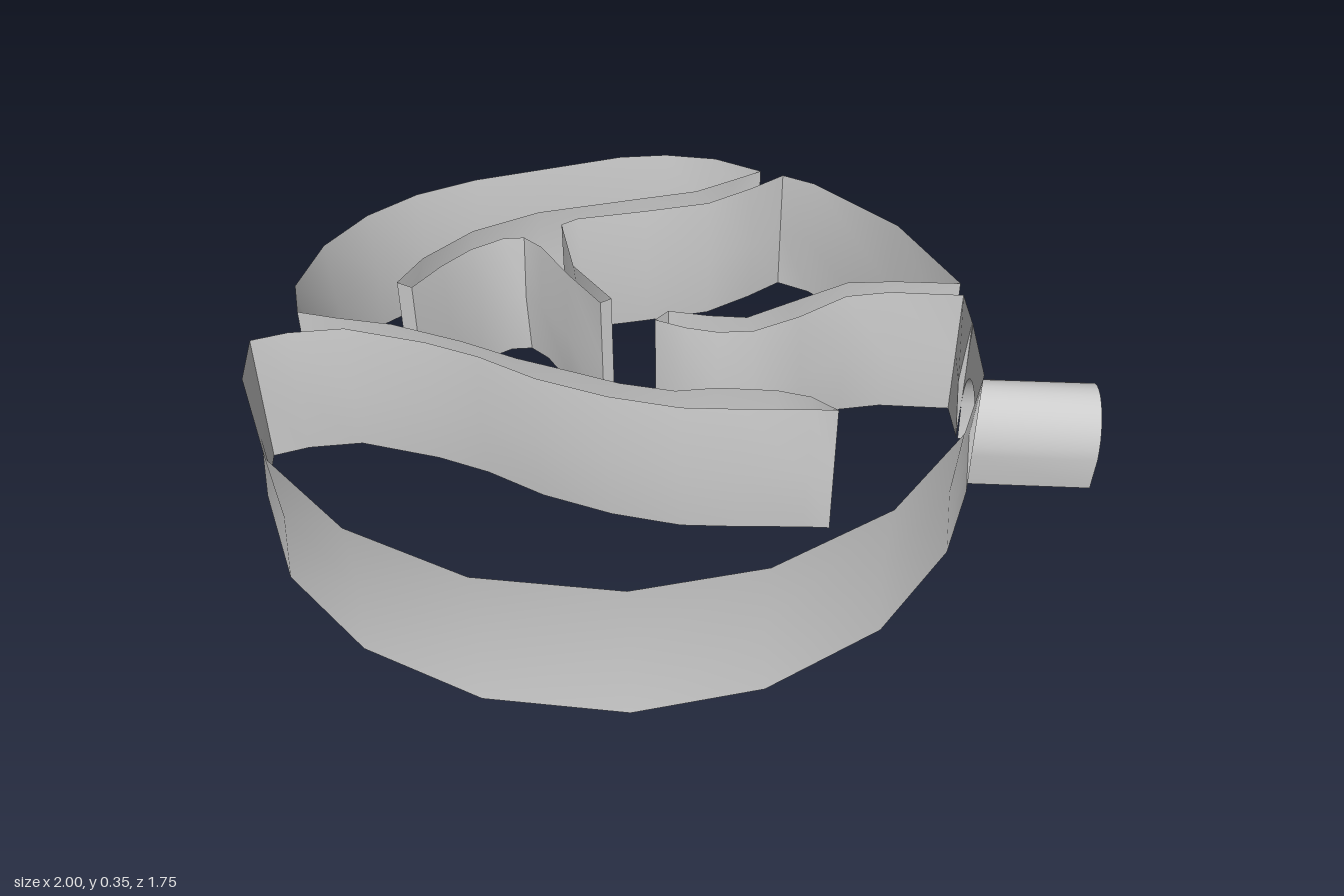
import * as THREE from 'three';
import { toCreasedNormals } from 'three/addons/utils/BufferGeometryUtils.js';

const HEIGHT = 0.355, PINCH = 0.014;

// Spout arch, from its front foot to its back foot: [x, z, y]
const SPOUT_FRONT = [0.71, -0.09], SPOUT_BACK = [0.655, -0.285];
const arch = [];
for (let i = 0; i <= 16; i++) {
  const a = Math.PI * i / 16, t = 0.5 - 0.5 * Math.cos(a);
  arch.push([
    THREE.MathUtils.lerp(SPOUT_FRONT[0], SPOUT_BACK[0], t),
    THREE.MathUtils.lerp(SPOUT_FRONT[1], SPOUT_BACK[1], t),
    0.11 + 0.135 * Math.sin(a),
  ]);
}

// Plan of the wall, one closed loop of [x, z, bottom y = 0]; each section ends where the next begins
const sections = {
  outerWallLeft: [[-0.02, -0.85], [-0.16, -0.88], [-0.3, -0.86], [-0.42, -0.81], [-0.59, -0.69], [-0.76, -0.57],
    [-0.88, -0.45], [-0.96, -0.31], [-1, -0.14], [-0.98, 0.05]],
  frontBaffleInner: [[-0.92, 0.15], [-0.82, 0.145], [-0.68, 0.13], [-0.49, 0.145], [-0.34, 0.17], [-0.2, 0.18],
    [-0.08, 0.19], [0.05, 0.18], [0.14, 0.14], [0.27, 0.11], [0.35, 0.11]],
  frontBaffleOuter: [[0.42, 0.14], [0.36, 0.155], [0.21, 0.2], [0.08, 0.235], [-0.09, 0.245], [-0.27, 0.23],
    [-0.43, 0.19], [-0.57, 0.175], [-0.78, 0.18], [-0.9, 0.235]],
  outerWallFront: [[-0.97, 0.29], [-0.91, 0.43], [-0.72, 0.665], [-0.46, 0.815], [-0.16, 0.87], [0.15, 0.815],
    [0.4, 0.67], [0.6, 0.43], [0.7, 0.14], [0.711, -0.085], ...arch, [0.653, -0.29]],
  rightBaffleFront: [[0.615, -0.4], [0.44, -0.36], [0.34, -0.31], [0.25, -0.19], [0.16, -0.1], [0.08, -0.07], [0, -0.065]],
  rightBaffleBack: [[-0.08, -0.075], [-0.06, -0.12], [0.04, -0.13], [0.13, -0.15], [0.22, -0.25], [0.33, -0.37], [0.44, -0.41]],
  outerWallBack: [[0.6, -0.45], [0.4, -0.675], [0.14, -0.825]],
  backBaffleRight: [[0.045, -0.845], [-0.02, -0.75], [-0.11, -0.64], [-0.26, -0.55], [-0.42, -0.46]],
  backBaffleHook: [[-0.45, -0.42], [-0.35, -0.24], [-0.21, -0.13], [-0.23, -0.105], [-0.35, -0.2], [-0.46, -0.3], [-0.52, -0.33],
    [-0.57, -0.31], [-0.63, -0.235], [-0.67, -0.14]],
  backBaffleLeft: [[-0.7, -0.03], [-0.745, -0.04], [-0.73, -0.16], [-0.66, -0.32], [-0.53, -0.46], [-0.29, -0.61],
    [-0.16, -0.69], [-0.08, -0.78]],
};

const material = new THREE.MeshStandardMaterial({ color: 0xcccccc, side: THREE.DoubleSide });

// Skin a list of columns, each holding the same number of points
function skin(columns, name) {
  const pos = [];
  for (let i = 0; i + 1 < columns.length; i++) {
    const a = columns[i], b = columns[i + 1];
    for (let j = 0; j + 1 < a.length; j++) {
      pos.push(...a[j], ...b[j], ...b[j + 1], ...a[j], ...b[j + 1], ...a[j + 1]);
    }
  }
  const geometry = new THREE.BufferGeometry();
  geometry.setAttribute('position', new THREE.Float32BufferAttribute(pos, 3));
  const mesh = new THREE.Mesh(toCreasedNormals(geometry, 0.75), material);
  mesh.name = name;
  return mesh;
}

export function createModel() {
  const group = new THREE.Group();
  group.name = 'chamberedDish';

  // Wall columns: bottom, slightly inset middle, top; sharp corners stay upright
  const loop = Object.values(sections).flat();
  const columns = loop.map(([x, z, y = 0], i) => {
    const p = loop[(i + loop.length - 1) % loop.length], n = loop[(i + 1) % loop.length];
    const d0 = new THREE.Vector2(x - p[0], z - p[1]).normalize();
    const d1 = new THREE.Vector2(n[0] - x, n[1] - z).normalize();
    const d = d0.clone().add(d1).normalize();
    const inset = y > 0 || d0.dot(d1) < 0.6 ? 0 : PINCH;
    return [[x, y, z], [x + d.y * inset, (y + HEIGHT) / 2, z - d.x * inset], [x, HEIGHT, z]];
  });

  // One mesh for each wall section
  let start = 0;
  for (const [name, points] of Object.entries(sections)) {
    const part = columns.slice(start, start + points.length);
    start += points.length;
    part.push(columns[start % columns.length]);
    group.add(skin(part, name));
  }

  // Spout: the arch with its two feet, swept outward and open underneath
  const foot = (p, q) => [p[0] + (q[0] - p[0]) * 0.07, p[1] + (q[1] - p[1]) * 0.07, 0.01];
  const outline = [foot(SPOUT_FRONT, SPOUT_BACK), ...arch, foot(SPOUT_BACK, SPOUT_FRONT)];
  group.add(skin(outline.map(([x, z, y]) => [[x, y, z], [x + 0.29, y + 0.003, z - 0.068]]).reverse(), 'spout'));
  return group;
}
